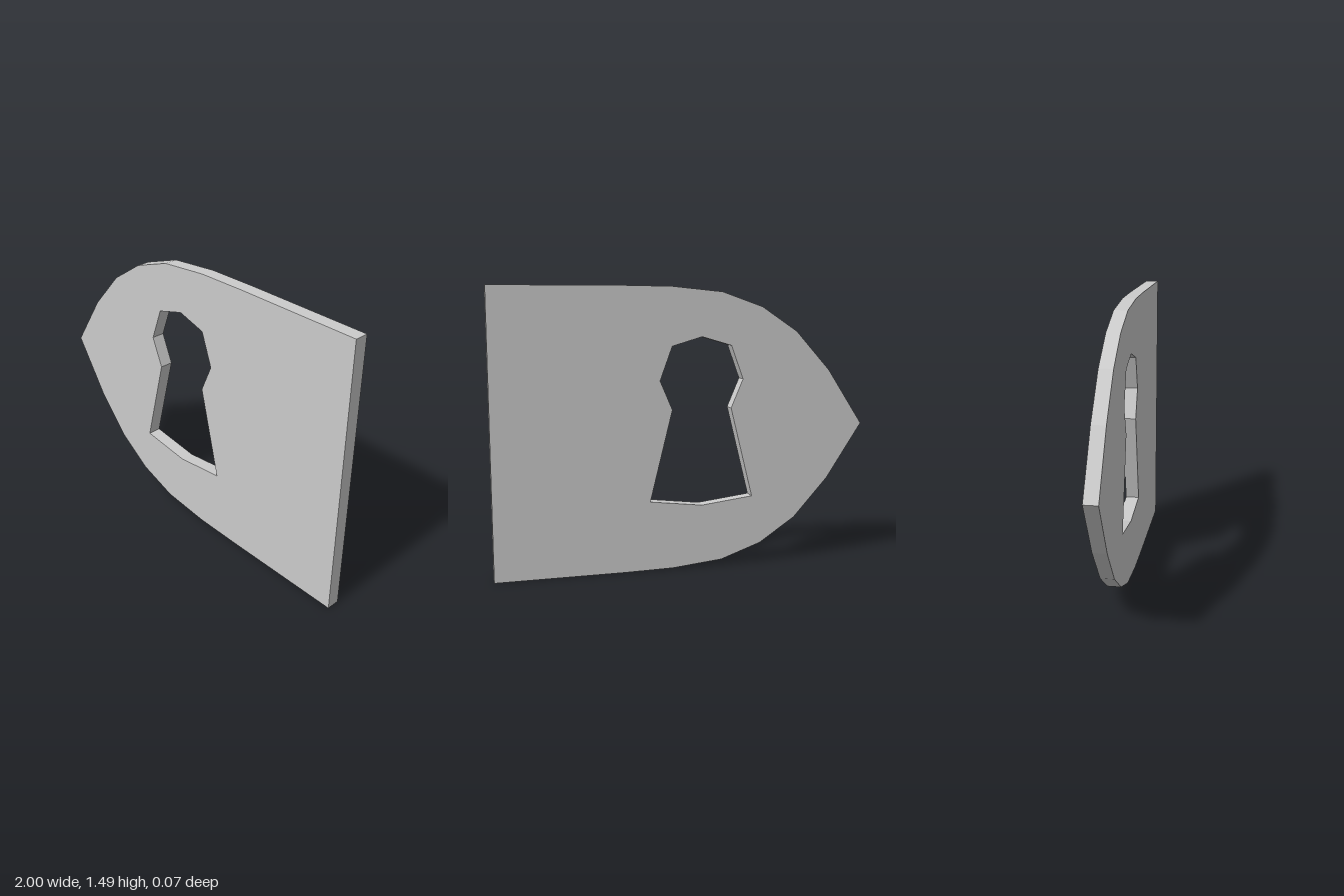
import * as THREE from 'three';

const HEIGHT = 1.488, DEPTH = 0.07;
const points = (list) => list.map(([x, y]) => new THREE.Vector2(x, y));

export function createModel() {
  const group = new THREE.Group();
  group.name = 'keyholePlate';

  // Lower edge from the pointed tip to the square end, mirrored about mid height
  const lower = [[-0.805, 0.448], [-0.615, 0.238], [-0.42, 0.108], [-0.2, 0.031], [0.07, 0.004], [0.33, 0], [1, 0]];
  const upper = lower.map(([x, y]) => [x, HEIGHT - y]).reverse();
  const shape = new THREE.Shape(points([[-1, HEIGHT / 2], ...lower, ...upper]));

  // Keyhole: half outline from top to bottom, mirrored about its own axis
  const axis = -0.09;
  const half = [[0.16, 1.18], [0.225, 1.003], [0.16, 0.851], [0.28, 0.37]];
  const left = half.map(([x, y]) => [axis - x, y]);
  const right = half.map(([x, y]) => [axis + x, y]).reverse();
  shape.holes.push(new THREE.Path(points([[axis, 1.227], ...left, [axis, 0.336], ...right])));

  // Flat plate with sharp edges
  const geometry = new THREE.ExtrudeGeometry(shape, { depth: DEPTH, bevelEnabled: false });
  geometry.translate(0, 0, -DEPTH / 2);
  const plate = new THREE.Mesh(geometry, new THREE.MeshStandardMaterial({ color: 0xcccccc, flatShading: true }));
  plate.name = 'plate';
  group.add(plate);
  return group;
}
